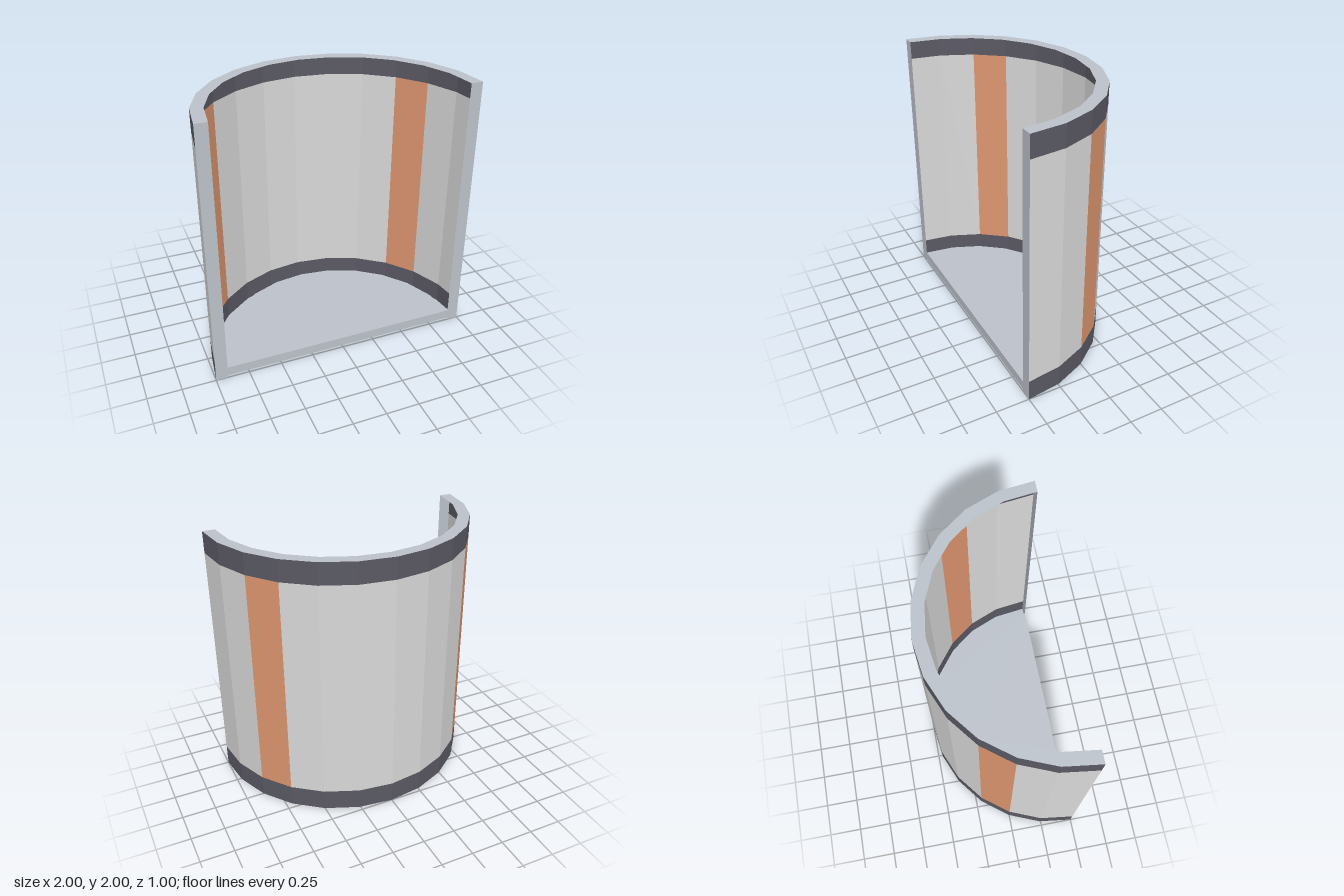
import * as THREE from 'three';

const SEGMENTS = 12, OUTER = 1, INNER = 0.91, HEIGHT = 2, BAND = 0.16;

function makeMaterial(name, color) {
  const m = new THREE.MeshStandardMaterial({ color, flatShading: true, side: THREE.DoubleSide });
  m.name = name;
  return m;
}

export function createModel() {
  const wall = makeMaterial('light grey', 0xd8d8d8);
  const stripe = makeMaterial('copper orange', 0xde9670);
  const dark = makeMaterial('dark slate', 0x5a5964);
  const trim = makeMaterial('blue grey trim', 0xbcc2ca);

  const model = new THREE.Group();
  model.name = 'halfRoundShell';
  const shell = new THREE.Group();
  shell.name = 'shell';
  shell.position.z = 0.5; // centre of the half circle lies on the open front
  model.add(shell);

  const add = (name, geometry, material, x = 0, y = 0, z = 0) => {
    const mesh = new THREE.Mesh(geometry, material);
    mesh.name = name;
    mesh.position.set(x, y, z);
    shell.add(mesh);
    return mesh;
  };

  // Curved sheet covering `count` facets, counted from the +x end
  const step = Math.PI / SEGMENTS;
  const curvedSheet = (name, first, count, y0, y1, material) =>
    add(name, new THREE.CylinderGeometry(OUTER, OUTER, y1 - y0, count, 1, true,
      Math.PI / 2 + first * step, count * step), material, 0, (y0 + y1) / 2);

  // Dark bands at foot and head
  curvedSheet('lowerBand', 0, SEGMENTS, 0, BAND, dark);
  curvedSheet('upperBand', 0, SEGMENTS, HEIGHT - BAND, HEIGHT, dark);

  // Wall panels with one copper stripe on each side
  const panels = [
    ['leftWall', 0, 2, wall], ['leftStripe', 2, 1, stripe], ['backWall', 3, 6, wall],
    ['rightStripe', 9, 1, stripe], ['rightWall', 10, 2, wall],
  ];
  for (const [name, first, count, material] of panels) {
    curvedSheet(name, first, count, BAND, HEIGHT - BAND, material);
  }

  // Flat rims closing the wall thickness at top and bottom
  for (const [name, y, tilt] of [['topRim', HEIGHT, -1], ['bottomRim', 0, 1]]) {
    const ring = new THREE.RingGeometry(INNER, OUTER, SEGMENTS, 1, tilt < 0 ? 0 : Math.PI, Math.PI);
    add(name, ring.rotateX(tilt * Math.PI / 2), trim, 0, y);
  }

  // Upright strips on the open front
  for (const [name, side] of [['leftPost', 1], ['rightPost', -1]]) {
    add(name, new THREE.PlaneGeometry(OUTER - INNER, HEIGHT), trim,
      side * (OUTER + INNER) / 2, HEIGHT / 2);
  }

  // Half-round floor slab
  const outline = new THREE.Shape();
  for (let i = 0; i <= SEGMENTS; i++) {
    const x = INNER * Math.cos(i * step), y = INNER * Math.sin(i * step);
    if (i === 0) outline.moveTo(x, y); else outline.lineTo(x, y);
  }
  outline.closePath();
  const slab = new THREE.ExtrudeGeometry(outline, { depth: 0.07, bevelEnabled: false });
  add('floor', slab.rotateX(-Math.PI / 2), trim, 0, 0.02);

  return model;
}
